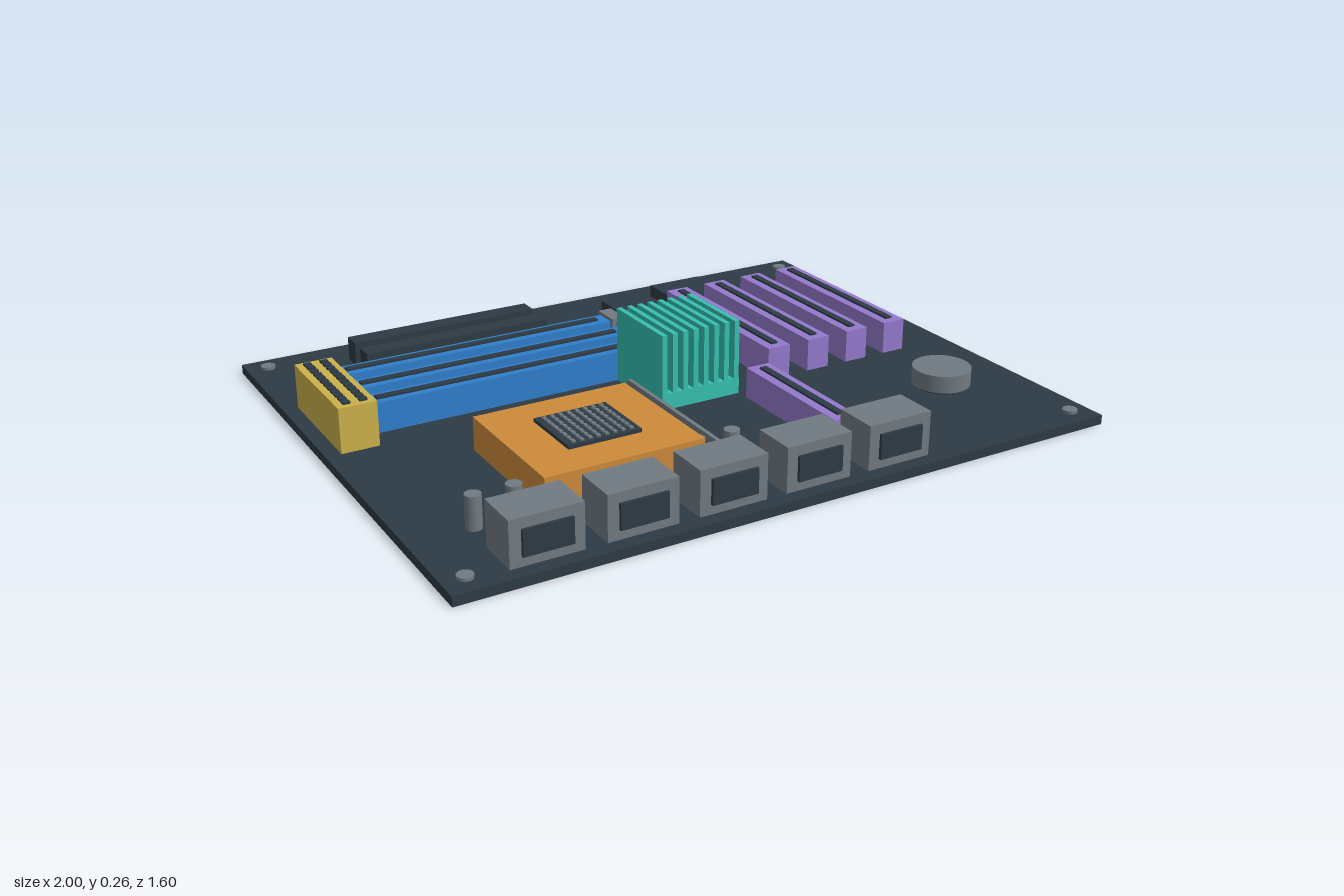
import * as THREE from 'three';

const mat = (name, color) => Object.assign(new THREE.MeshStandardMaterial({ color }), { name });

export function createModel() {
  const root = new THREE.Group();
  root.name = 'circuitBoard';
  const slate = mat('slate', 0x2d3a45);
  const gray = mat('gray', 0x717a81);
  const orange = mat('orange', 0xcd8a3a);
  const yellow = mat('yellow', 0xcbb04a);
  const purple = mat('purple', 0x9379cc);
  const blue = mat('blue', 0x2f7fcb);
  const teal = mat('teal', 0x36bfae);
  const TOP = 0.028;

  const group = (name) => {
    const g = new THREE.Group();
    g.name = name;
    root.add(g);
    return g;
  };
  // box given by its limits on each axis
  const box = (parent, name, m, x0, x1, y0, y1, z0, z1) => {
    const mesh = new THREE.Mesh(new THREE.BoxGeometry(x1 - x0, y1 - y0, z1 - z0), m);
    mesh.position.set((x0 + x1) / 2, (y0 + y1) / 2, (z0 + z1) / 2);
    mesh.name = name;
    parent.add(mesh);
  };
  const disc = (parent, name, m, x, z, r, y0, y1, sides) => {
    const mesh = new THREE.Mesh(new THREE.CylinderGeometry(r, r, y1 - y0, sides), m);
    mesh.position.set(x, (y0 + y1) / 2, z);
    mesh.name = name;
    parent.add(mesh);
  };

  box(root, 'board', slate, -1, 1, 0, TOP, -0.8, 0.8);

  // corner screws
  for (const x of [-0.938, 0.938])
    for (const z of [-0.735, 0.735]) disc(root, 'screw', gray, x, z, 0.022, TOP, 0.037, 12);

  // processor with a grid of contacts and a locking lever
  const cpu = group('processor');
  box(cpu, 'socket', orange, -0.637, -0.17, TOP, 0.127, 0.116, 0.545);
  box(cpu, 'chip', slate, -0.51, -0.293, 0.127, 0.137, 0.228, 0.43);
  for (let i = 0; i < 8; i++)
    for (let j = 0; j < 8; j++) {
      const x = -0.4015 + (i - 3.5) * 0.0245, z = 0.329 + (j - 3.5) * 0.0235;
      box(cpu, 'contact', gray, x - 0.005, x + 0.005, 0.137, 0.142, z - 0.007, z + 0.007);
    }
  box(cpu, 'lever', gray, -0.146, -0.134, 0.1, 0.122, 0.09, 0.572);

  // capacitors
  for (const x of [-0.82, -0.71, -0.18, -0.073])
    disc(root, 'capacitor', gray, x, 0.523, 0.022, TOP, 0.122, 16);

  // memory slots with end clips
  for (const z of [-0.388, -0.27, -0.152]) {
    const slot = group('memorySlot');
    box(slot, 'slotBody', blue, -0.85, 0.045, TOP, 0.118, z - 0.034, z + 0.034);
    box(slot, 'slotOpening', slate, -0.81, 0.01, 0.118, 0.124, z - 0.011, z + 0.011);
    for (const x of [-0.868, 0.064])
      box(slot, 'clip', gray, x - 0.022, x + 0.022, TOP, 0.128, z - 0.045, z + 0.045);
  }

  // power connector with two rows of sockets
  const power = group('powerConnector');
  box(power, 'powerBody', yellow, -0.956, -0.846, TOP, 0.161, -0.4, -0.04);
  for (const x of [-0.925, -0.877])
    for (let i = 0; i < 12; i++) {
      const z = -0.22 + (i - 5.5) * 0.028;
      box(power, 'powerPin', slate, x - 0.011, x + 0.011, 0.161, 0.167, z - 0.009, z + 0.009);
    }

  // finned heat sink
  const sink = group('heatSink');
  box(sink, 'sinkBase', teal, -0.064, 0.195, TOP, 0.077, -0.12, 0.146);
  for (let i = 0; i < 8; i++) {
    const x = -0.056 + i * 0.0345;
    box(sink, 'fin', teal, x - 0.008, x + 0.008, 0.077, 0.256, -0.12, 0.146);
  }

  // expansion slots and the shorter graphics slot
  const cardSlot = (name, x, z0, z1, h) => {
    const slot = group(name);
    box(slot, 'slotBody', purple, x - 0.038, x + 0.038, TOP, h, z0, z1);
    box(slot, 'slotOpening', slate, x - 0.011, x + 0.011, h, h + 0.006, z0 + 0.027, z1 - 0.027);
  };
  for (let i = 0; i < 4; i++) cardSlot('expansionSlot', 0.363 + i * 0.143, -0.488, 0.107, 0.127);
  cardSlot('graphicsSlot', 0.235, 0.183, 0.614, 0.12);

  // drive headers and dark chips
  box(root, 'driveHeader', slate, -0.7, -0.1, TOP, 0.102, -0.677, -0.616);
  box(root, 'driveHeader', slate, -0.7, -0.1, TOP, 0.102, -0.573, -0.513);
  box(root, 'controllerChip', slate, 0.39, 0.575, TOP, 0.068, -0.706, -0.535);
  box(root, 'memoryChip', slate, 0.177, 0.25, TOP, 0.064, -0.665, -0.466);

  // battery
  const battery = group('battery');
  disc(battery, 'batteryHolder', slate, 0.747, 0.395, 0.075, TOP, 0.036, 32);
  disc(battery, 'cell', gray, 0.747, 0.395, 0.087, 0.036, 0.088, 32);

  // front ports with dark openings
  for (let i = 0; i < 5; i++) {
    const x = -0.735 + i * 0.26, port = group('port');
    box(port, 'portShell', gray, x - 0.1, x + 0.1, TOP, 0.157, 0.627, 0.757);
    box(port, 'portOpening', slate, x - 0.068, x + 0.068, 0.056, 0.128, 0.757, 0.766);
  }
  return root;
}
